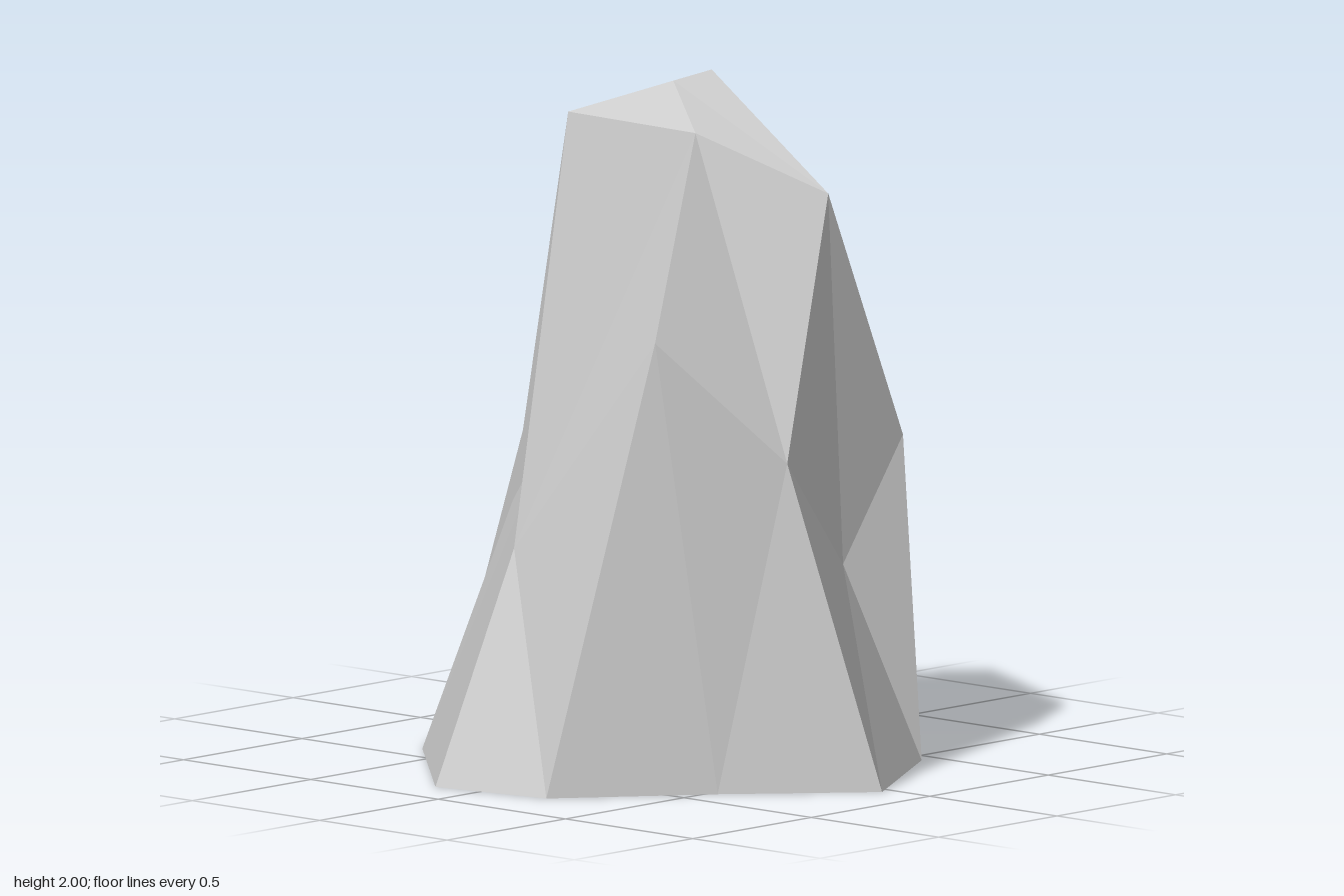
import * as THREE from 'three';

// Corners of the boulder, named by where they sit
const corners = {
  // summit
  peak: [0.09, 2.0, 0.06], crest: [-0.04, 1.98, 0.03], horn: [-0.29, 1.9, -0.15],
  notch: [0.05, 1.7, -0.26], brow: [0.05, 1.7, 0.555], ridge: [-0.14, 1.86, 0.21],
  // shoulders around the middle
  backHip: [-0.19, 0.72, -0.46], cleft: [-0.3, 1.0, -0.19], rightHip: [-0.54, 0.66, -0.13],
  rightShoulder: [-0.45, 1.3, 0.34], backShoulder: [0.15, 1.26, -0.6],
  leftRear: [0.72, 1.04, -0.26], leftShoulder: [0.63, 1.21, 0.11],
  frontLeft: [0.36, 0.96, 0.56], frontRight: [-0.15, 0.94, 0.58], frontDip: [0.12, 0.61, 0.548],
};

// Foot outline, clockwise from the back when seen from above
const foot = [
  [-0.04, 0, -0.86], [0.53, 0.01, -0.76], [0.85, 0.01, -0.13], [0.51, 0, 0.45], [0.31, 0.03, 0.68],
  [-0.04, 0, 0.85], [-0.39, 0, 0.53], [-0.78, 0, 0.22], [-0.85, 0, -0.15], [-0.39, 0, -0.63],
];
foot.forEach((p, i) => { corners['f' + i] = p; });

// Facets fanning out from a hub corner, rim listed counter-clockwise from outside
const fan = (hub, rim) => {
  const names = rim.split(' ');
  return names.slice(1).flatMap((name, i) => [hub, names[i], name].flatMap((n) => corners[n]));
};

function facetMesh(name, positions, material) {
  const geometry = new THREE.BufferGeometry();
  geometry.setAttribute('position', new THREE.Float32BufferAttribute(positions, 3));
  geometry.computeVertexNormals();
  const mesh = new THREE.Mesh(geometry, material);
  mesh.name = name;
  return mesh;
}

export function createModel() {
  const stone = new THREE.MeshStandardMaterial({ color: 0xcccccc, flatShading: true });
  const rock = new THREE.Group();
  rock.name = 'rock';

  // Summit facets
  rock.add(facetMesh('summit', [
    ...fan('peak', 'notch crest brow frontLeft leftShoulder leftRear notch'),
    ...fan('horn', 'notch backHip cleft rightHip ridge crest notch'),
  ], stone));

  // Front face with its shallow dip
  rock.add(facetMesh('frontFace', [
    ...fan('brow', 'crest ridge frontRight frontDip frontLeft'),
    ...fan('frontDip', 'frontRight f5 f4 frontLeft'),
    ...fan('frontRight', 'f6 f5'),
    ...fan('frontLeft', 'f4 f3'),
  ], stone));

  // Right flank
  rock.add(facetMesh('rightFlank', [
    ...fan('rightShoulder', 'ridge rightHip f7 f6 frontRight ridge'),
    ...fan('rightHip', 'cleft f9 f8 f7'),
  ], stone));

  // Left flank
  rock.add(facetMesh('leftFlank', [
    ...fan('leftRear', 'leftShoulder f2 f1 backShoulder notch'),
    ...fan('leftShoulder', 'frontLeft f3 f2'),
  ], stone));

  // Back face
  rock.add(facetMesh('backFace', [
    ...fan('backHip', 'notch backShoulder f0 f9 cleft'),
    ...fan('backShoulder', 'f1 f0'),
  ], stone));

  // Underside
  rock.add(facetMesh('underside', fan('f0', 'f1 f2 f3 f4 f5 f6 f7 f8 f9'), stone));

  return rock;
}
